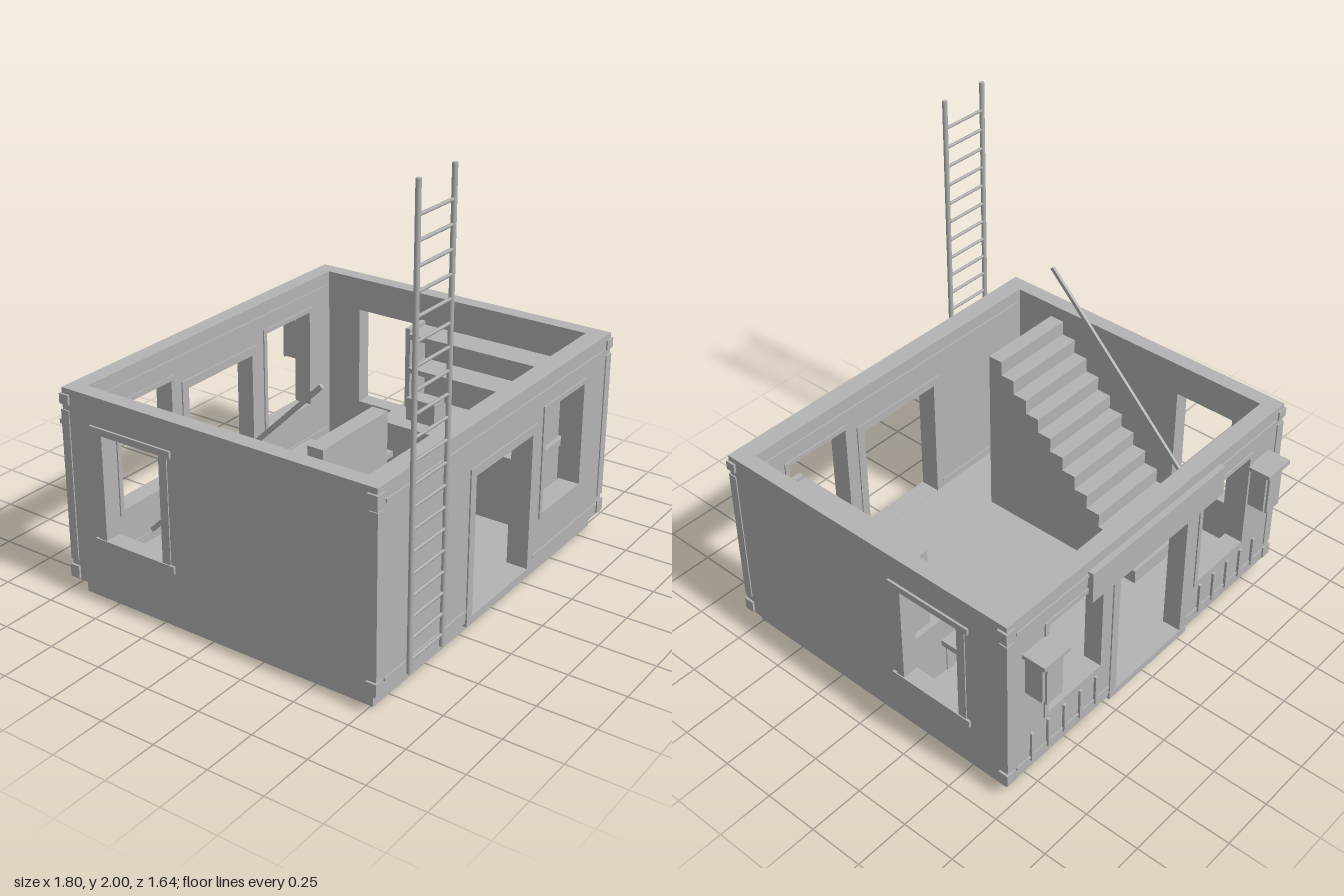
import * as THREE from 'three';

const stone = new THREE.MeshStandardMaterial({ color: 0xb3b3b3 });
stone.name = 'plain grey';

export function createModel() {
  const root = new THREE.Group();
  root.name = 'house';

  const group = (name, parent = root) => {
    const g = new THREE.Group();
    g.name = name;
    parent.add(g);
    return g;
  };
  const add = (name, geometry, parent = root) => {
    const m = new THREE.Mesh(geometry, stone);
    m.name = name;
    parent.add(m);
    return m;
  };
  // Box given by its limits on each axis
  const box = (name, x0, x1, y0, y1, z0, z1, parent) => {
    const m = add(name, new THREE.BoxGeometry(x1 - x0, y1 - y0, z1 - z0), parent);
    m.position.set((x0 + x1) / 2, (y0 + y1) / 2, (z0 + z1) / 2);
    return m;
  };
  const cylinder = (name, r, x, y0, y1, z, sides, parent) => {
    const m = add(name, new THREE.CylinderGeometry(r, r, y1 - y0, sides), parent);
    m.position.set(x, (y0 + y1) / 2, z);
    return m;
  };
  // Wall outline from u0 to u1 with rectangular openings [u0, u1, y0, y1]
  const wallGeometry = (u0, u1, openings, depth) => {
    const rect = (T, a, b, c, d) => {
      const s = new T();
      s.moveTo(a, c);
      s.lineTo(b, c);
      s.lineTo(b, d);
      s.lineTo(a, d);
      s.closePath();
      return s;
    };
    const shape = rect(THREE.Shape, u0, u1, 0.07, 0.93);
    for (const o of openings) shape.holes.push(rect(THREE.Path, ...o));
    return new THREE.ExtrudeGeometry(shape, { depth, bevelEnabled: false });
  };

  const WX = 0.89, IX = 0.82, ZB = -0.715, IB = -0.64, IF = 0.71, ZF = 0.795;
  const LOW = 0.305, HIGH = 0.775;

  // Foundation and floor
  box('foundation', -0.855, 0.855, 0, 0.07, -0.675, 0.76);
  box('floor', -IX, IX, 0.07, 0.088, IB, IF);

  // Front and back walls: a door between two windows at the back, one window at the front
  const door = [-0.22, 0.22, 0.075, 0.705];
  const windowL = [0.33, 0.655, LOW, HIGH], windowR = [-0.655, -0.33, LOW, HIGH];
  add('frontWall', wallGeometry(-WX, WX, [door, windowL], ZF - IF)).position.z = IF;
  add('backWall', wallGeometry(-WX, WX, [door, windowL, windowR], IB - ZB)).position.z = ZB;

  // Thin surrounds and mouldings on both faces of the front and back walls
  const trim = group('wallTrim');
  const T = 0.006;
  const surround = ([x0, x1, y0, y1], z, w, isDoor) => {
    const b = isDoor ? y0 : y0 - w;
    box('surroundSide', x0 - w, x0, b, y1 + w, z, z + T, trim);
    box('surroundSide', x1, x1 + w, b, y1 + w, z, z + T, trim);
    box('surroundTop', x0, x1, y1, y1 + w, z, z + T, trim);
    if (!isDoor) box('surroundBottom', x0, x1, b, y0, z, z + T, trim);
  };
  for (const [z, windows, half] of [
    [ZF, [windowL], 0.84], [IF - T, [windowL], 0.8],
    [IB, [windowL, windowR], 0.8], [ZB - T, [windowL, windowR], 0.84],
  ]) {
    surround(door, z, 0.04, true);
    for (const w of windows) surround(w, z, 0.022, false);
    box('upperMoulding', -half, half, 0.855, 0.87, z, z + T, trim);
    for (const s of [-1, 1]) {
      const a = s * 0.265, b = s * half;
      box('lowerMoulding', Math.min(a, b), Math.max(a, b), 0.12, 0.132, z, z + T, trim);
    }
  }
  box('frontDoorSill', -0.263, 0.263, 0.055, 0.09, IF, ZF + 0.008);
  box('backDoorSill', -0.263, 0.263, 0.055, 0.09, ZB - 0.008, IB);

  // Side walls with framed windows; s is the side of the house
  for (const [s, z0, z1] of [[1, -0.505, -0.13], [-1, -0.55, -0.175]]) {
    const side = group(s > 0 ? 'leftWall' : 'rightWall');
    const wall = add('wall', wallGeometry(-IF, -IB, [[-z1, -z0, LOW, HIGH]], WX - IX), side);
    wall.rotation.y = Math.PI / 2;
    wall.position.x = s > 0 ? IX : -WX;
    const outer = (name, a, b, ...rest) =>
      box(name, Math.min(s * a, s * b), Math.max(s * a, s * b), ...rest, side);
    outer('windowJamb', IX, 0.895, LOW, HIGH, z0, z0 + 0.04);
    outer('windowJamb', IX, 0.895, LOW, HIGH, z1 - 0.04, z1);
    outer('windowLintel', 0.88, 0.9, HIGH, 0.805, z0 - 0.02, z1 + 0.02);
    outer('windowSill', 0.88, 0.9, 0.272, LOW, z0 - 0.02, z1 + 0.02);
    // Corner blocks and posts
    for (const [a, b, p, q] of [[0.755, 0.802, 0.76, 0.8], [-0.722, -0.675, -0.72, -0.68]]) {
      outer('cornerBlock', 0.85, 0.9, 0.862, 0.905, a, b);
      outer('cornerBlock', 0.85, 0.9, 0.078, 0.135, a, b);
      outer('cornerPost', 0.85, 0.895, 0.16, 0.835, p, q);
    }
  }

  // Leaning-free ladder on the front wall
  const ladder = group('ladder');
  for (const x of [-0.687, -0.457]) cylinder('ladderRail', 0.011, x, 0.075, 2, 0.809, 8, ladder);
  for (let i = 0; i < 20; i++) {
    const rung = add('ladderRung', new THREE.CylinderGeometry(0.007, 0.007, 0.23, 6), ladder);
    rung.rotation.z = Math.PI / 2;
    rung.position.set(-0.572, 0.13 + i * 0.0916, 0.809);
  }

  // Solid staircase rising towards the front
  const N = 12, run = 0.855 / N, rise = (0.927 - 0.088) / N;
  const steps = new THREE.Shape();
  steps.moveTo(0.395, 0.088);
  for (let i = 0; i < N; i++) {
    steps.lineTo(0.395 - i * run, 0.088 + (i + 1) * rise);
    steps.lineTo(0.395 - (i + 1) * run, 0.088 + (i + 1) * rise);
  }
  steps.lineTo(-0.46, 0.088);
  steps.closePath();
  const stairs = add('staircase', new THREE.ExtrudeGeometry(steps, { depth: 0.422, bevelEnabled: false }));
  stairs.rotation.y = Math.PI / 2;
  stairs.position.x = -0.75;
  const rail = add('handrail', new THREE.BoxGeometry(0.014, 0.018, 1.2));
  rail.rotation.x = -Math.PI / 4;
  rail.position.set(-0.756, 0.76, 0.036);

  // Sign board, lanterns and pickets on the back wall
  box('signBoard', -0.43, 0.425, 0.735, 0.882, -0.742, ZB);
  for (const s of [-1, 1]) {
    const lantern = group('lantern');
    const cx = s * 0.728;
    box('lanternBody', cx - 0.06, cx + 0.06, 0.515, 0.712, -0.8, ZB, lantern);
    box('lanternFront', cx - 0.045, cx + 0.045, 0.502, 0.712, -0.81, -0.8, lantern);
    box('lanternCap', cx - 0.077, cx + 0.077, 0.71, 0.73, -0.825, ZB, lantern);
    const pickets = group('pickets');
    for (let i = 0; i < 5; i++) {
      const x = s * (0.355 + i * 0.099);
      box('picket', x - 0.008, x + 0.008, 0.11, 0.262, -0.727, ZB, pickets);
    }
  }

  // Table and benches on four legs
  const legged = (name, x0, x1, z0, z1, top, thick, leg, inset) => {
    const g = group(name);
    box('top', x0, x1, top - thick, top, z0, z1, g);
    for (const x of [x0 + inset, x1 - inset - leg])
      for (const z of [z0 + inset, z1 - inset - leg])
        box('leg', x, x + leg, 0.088, top - thick, z, z + leg, g);
  };
  legged('table', 0.22, 0.625, -0.38, -0.065, 0.275, 0.028, 0.035, 0.025);
  legged('backBench', 0.28, 0.568, -0.57, -0.43, 0.175, 0.022, 0.03, 0.015);
  legged('frontBench', 0.28, 0.568, -0.02, 0.115, 0.175, 0.022, 0.03, 0.015);
  cylinder('tablePot', 0.031, 0.425, 0.275, 0.325, -0.222, 6);
  for (const x of [0.325, 0.525]) cylinder('cup', 0.018, x, 0.275, 0.305, -0.222, 8);

  // Counter with a shelf unit, a box and a jar
  const counter = group('counter');
  box('counterBody', 0.512, IX, 0.088, 0.39, -0.12, 0.612, counter);
  box('counterTop', 0.49, IX, 0.39, 0.42, -0.14, 0.635, counter);
  box('counterBox', 0.57, 0.656, 0.42, 0.527, -0.035, 0.115, counter);
  cylinder('jar', 0.036, 0.671, 0.42, 0.585, 0.475, 6, counter).rotation.y = Math.PI / 6;
  const shelves = group('shelves');
  for (const z of [-0.115, 0.588]) box('shelfEnd', 0.68, 0.81, 0.42, 0.808, z, z + 0.024, shelves);
  for (const y of [0.6, 0.765]) box('shelf', 0.667, 0.81, y, y + 0.024, -0.091, 0.588, shelves);

  return root;
}
